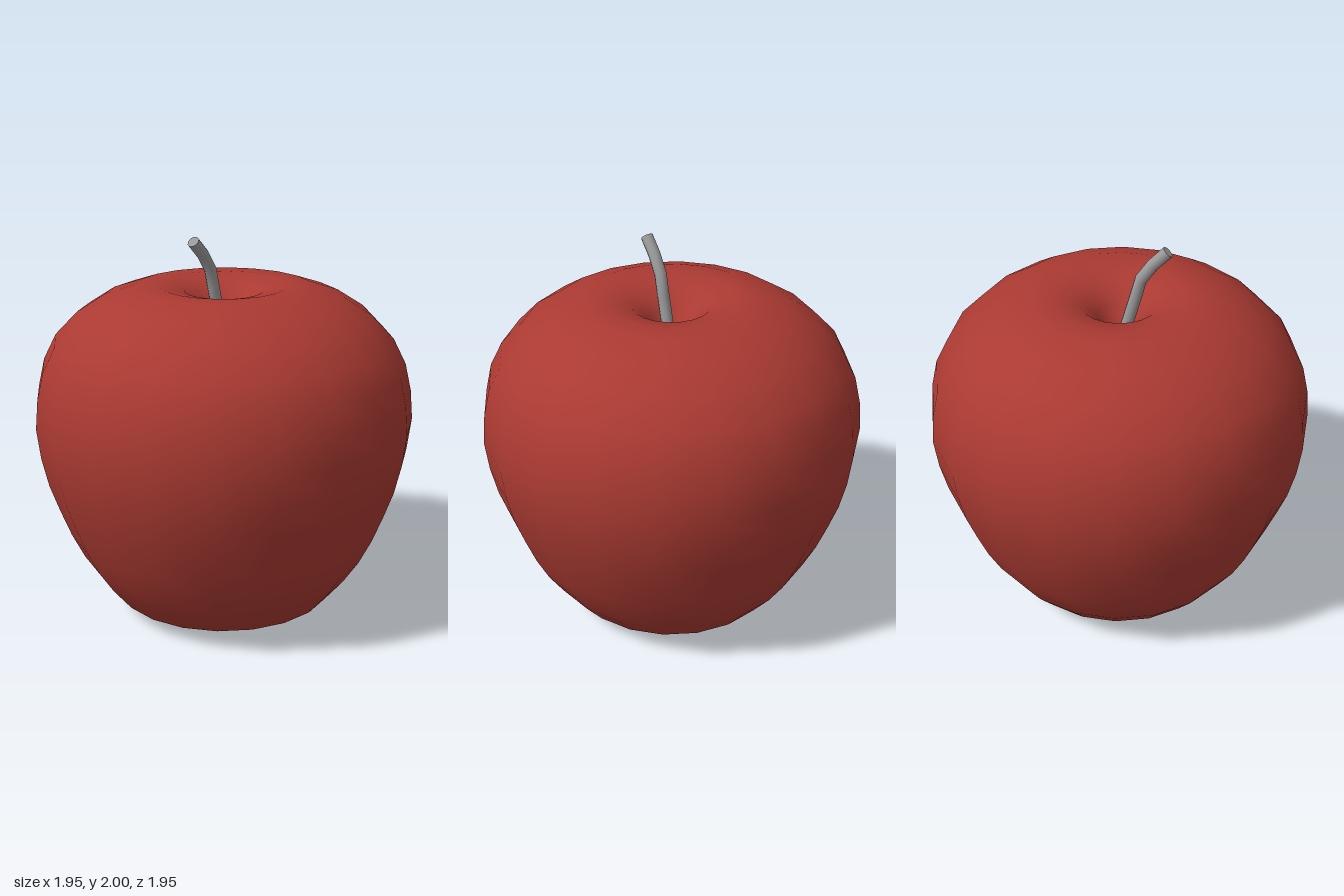
import * as THREE from 'three';

export function createModel() {
  const group = new THREE.Group();
  const skin = new THREE.MeshStandardMaterial({ color: 0xaa3a32 });
  skin.name = 'red skin';
  const wood = new THREE.MeshStandardMaterial({ color: 0x999999 });
  wood.name = 'grey stem';

  // Fruit body: one lathed profile, from the hollow underneath to the dimple on top
  const profile = [
    [0, 0.08], [0.15, 0.035], [0.3, 0], [0.44, 0.025], [0.57, 0.08],
    [0.67, 0.2], [0.75, 0.32], [0.815, 0.45], [0.87, 0.59], [0.92, 0.73],
    [0.955, 0.88], [0.975, 1.04], [0.962, 1.19], [0.93, 1.33], [0.865, 1.46],
    [0.75, 1.58], [0.61, 1.67], [0.45, 1.725], [0.33, 1.73], [0.2, 1.7],
    [0.11, 1.62], [0.045, 1.51], [0, 1.46],
  ].map(([r, y]) => new THREE.Vector2(r, y));
  const body = new THREE.Mesh(new THREE.LatheGeometry(profile, 20), skin);
  body.name = 'fruitBody';
  group.add(body);

  // Bent stem rising out of the dimple
  const radius = 0.031;
  const path = new THREE.CatmullRomCurve3([
    [0, 1.44], [-0.045, 1.6], [-0.08, 1.73], [-0.097, 1.81], [-0.15, 1.895], [-0.233, 1.98],
  ].map(([x, y]) => new THREE.Vector3(x, y, 0)));
  const stem = new THREE.Group();
  stem.name = 'stem';
  const shaft = new THREE.Mesh(new THREE.TubeGeometry(path, 6, radius, 10), wood);
  shaft.name = 'stemShaft';
  stem.add(shaft);

  // Flat cut at each end of the stem
  for (const [t, sign, name] of [[0, -1, 'stemBase'], [1, 1, 'stemTip']]) {
    const cap = new THREE.Mesh(new THREE.CircleGeometry(radius, 10), wood);
    cap.name = name;
    cap.position.copy(path.getPointAt(t));
    cap.quaternion.setFromUnitVectors(
      new THREE.Vector3(0, 0, 1), path.getTangentAt(t).multiplyScalar(sign));
    stem.add(cap);
  }
  group.add(stem);
  return group;
}
